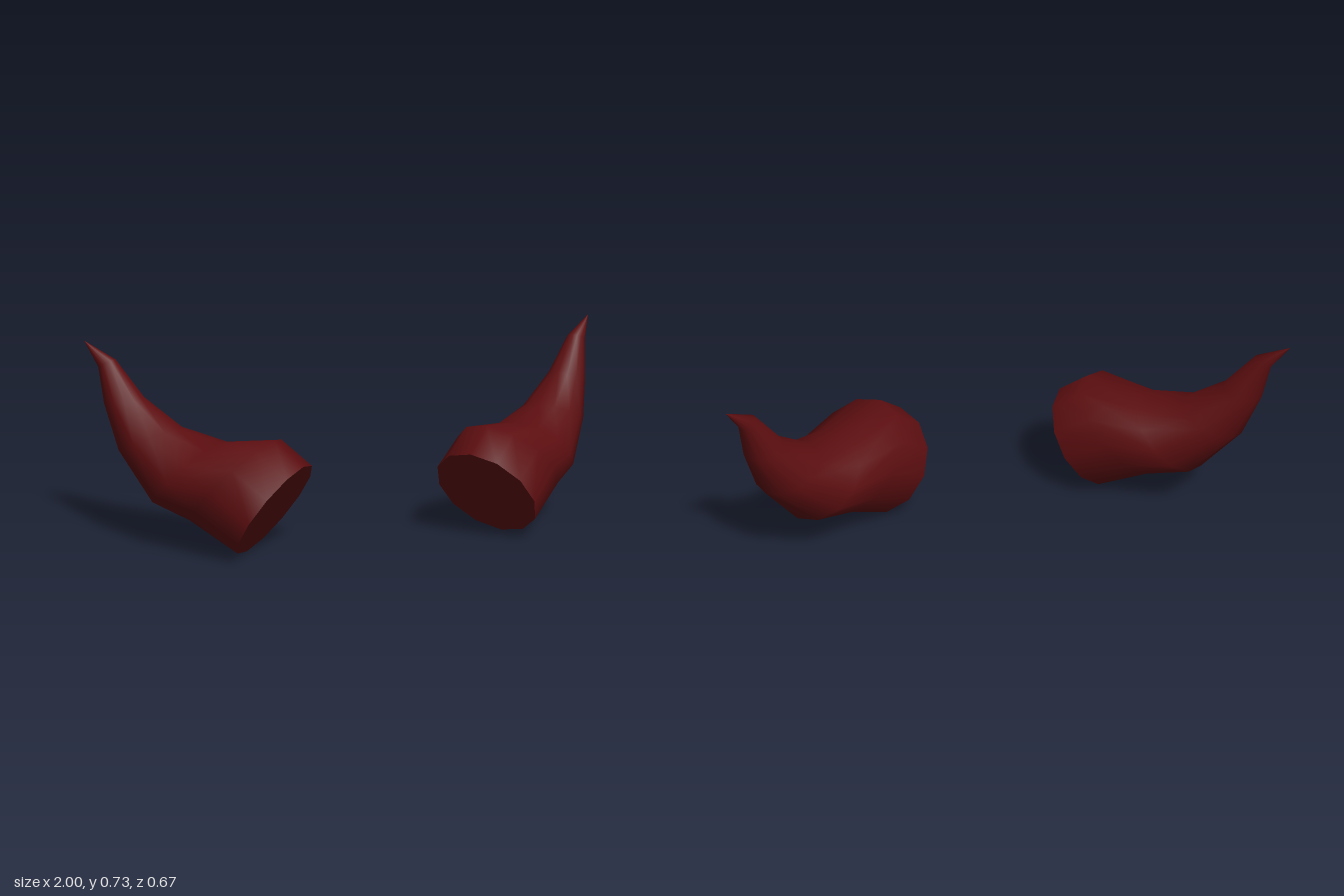
import * as THREE from 'three';

const SIDES = 12;
// Horizontal direction the horn sweeps along, and the sideways direction across it
const along = new THREE.Vector3(0.773, 0, -0.635);
const across = new THREE.Vector3(0.635, 0, 0.773);
const OFFSET = 0.378;

// Cross-sections: [top along, top y, bottom along, bottom y, half width]
const sections = [
  [0.094, 0.345, 0.325, 0.003, 0.205],
  [0.207, 0.43, 0.525, 0.105, 0.2],
  [0.425, 0.4, 0.683, 0.155, 0.167],
  [0.6, 0.435, 0.832, 0.34, 0.117],
  [0.748, 0.535, 0.896, 0.51, 0.07],
  [0.858, 0.67, 0.92, 0.64, 0.035],
  [0.984, 0.733, 0.984, 0.733, 0],
];

// One vertex of a cross-section; side is 1 for left, -1 for right
function ringPoint([ut, yt, ub, yb, w], j, side) {
  const a = (j / SIDES) * Math.PI * 2;
  const u = (ut + ub) / 2 + ((ut - ub) / 2) * Math.cos(a);
  const y = (yt + yb) / 2 + ((yt - yb) / 2) * Math.cos(a);
  const p = new THREE.Vector3(0, y, 0)
    .addScaledVector(along, u)
    .addScaledVector(across, OFFSET + w * Math.sin(a));
  return [p.x * side, p.y, p.z];
}

function makeGeometry(positions, triangles, side) {
  const index = triangles.flatMap(([a, b, c]) => (side > 0 ? [a, b, c] : [a, c, b]));
  const geometry = new THREE.BufferGeometry();
  geometry.setAttribute('position', new THREE.Float32BufferAttribute(positions, 3));
  geometry.setIndex(index);
  geometry.computeVertexNormals();
  return geometry;
}

// Smooth curved skin lofted through all cross-sections
function hornSkin(side) {
  const positions = [];
  const triangles = [];
  sections.forEach((section, i) => {
    for (let j = 0; j < SIDES; j++) {
      positions.push(...ringPoint(section, j, side));
      if (i === sections.length - 1) continue;
      const a = i * SIDES + j;
      const b = i * SIDES + ((j + 1) % SIDES);
      triangles.push([a, b, a + SIDES]);
      if (i < sections.length - 2) triangles.push([b, b + SIDES, a + SIDES]);
    }
  });
  return makeGeometry(positions, triangles, side);
}

// Flat cap closing the wide end
function baseCap(side) {
  const positions = [];
  const triangles = [];
  for (let j = 0; j < SIDES; j++) {
    positions.push(...ringPoint(sections[0], j, side));
    if (j > 1) triangles.push([0, j, j - 1]);
  }
  return makeGeometry(positions, triangles, side);
}

export function createModel() {
  const model = new THREE.Group();
  model.name = 'horns';
  const darkRed = new THREE.MeshStandardMaterial({ color: 0x5c0e10 });
  darkRed.name = 'darkRed';

  for (const [name, side] of [['left', 1], ['right', -1]]) {
    const horn = new THREE.Group();
    horn.name = `${name}Horn`;
    const skin = new THREE.Mesh(hornSkin(side), darkRed);
    skin.name = `${name}HornSkin`;
    const cap = new THREE.Mesh(baseCap(side), darkRed);
    cap.name = `${name}HornBase`;
    horn.add(skin, cap);
    model.add(horn);
  }
  return model;
}
